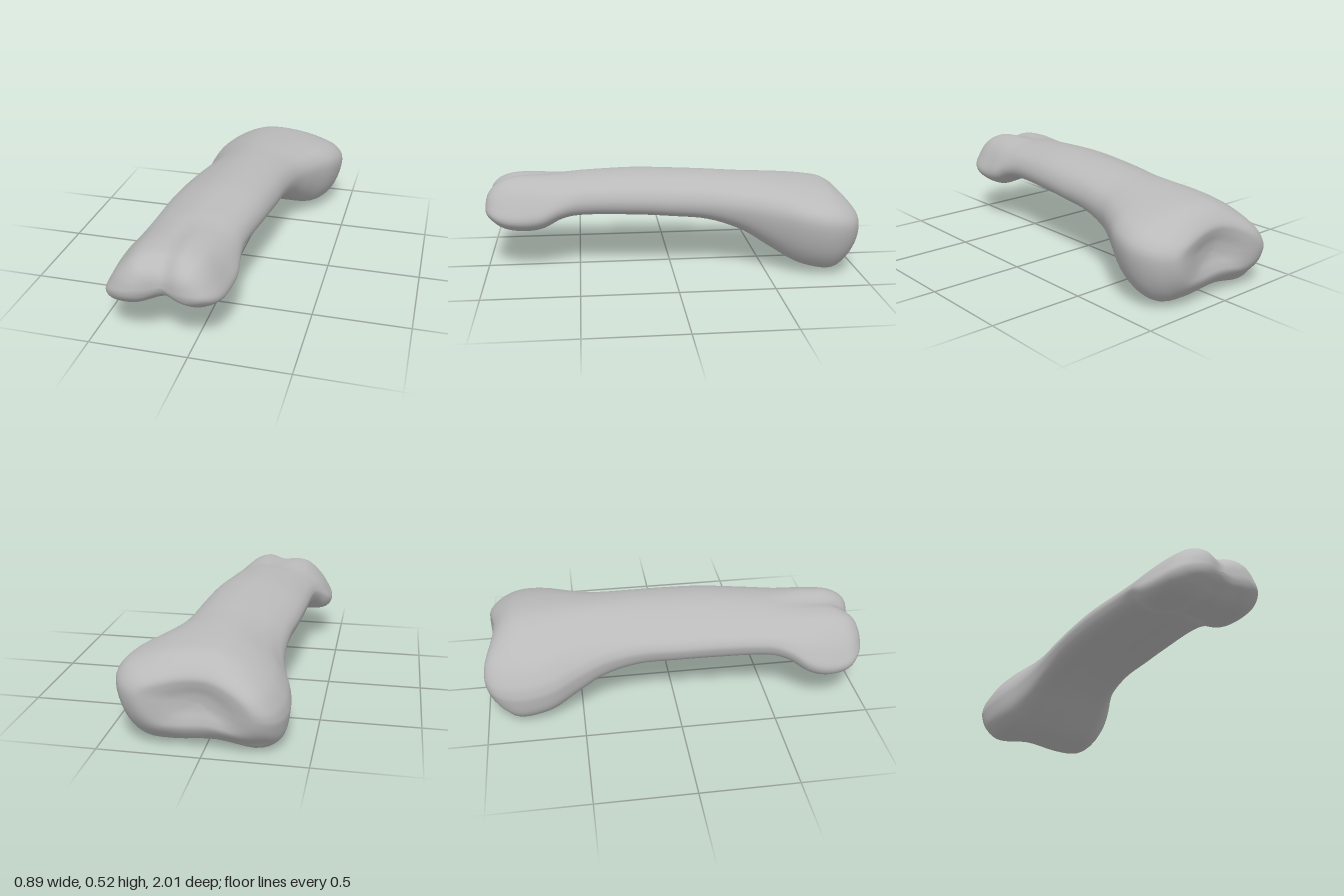
import * as THREE from 'three';

// Outlines in a unit box, counter-clockwise from the +x side
const HEAD = [1, .36, .955, .56, .89, .77, .81, .92, .68, 1, .53, .93, .4, .945, .26, .88,
  .125, .64, .045, .4, 0, .19, .065, .03, .26, .01, .52, .16, .68, .1, .84, .1, .965, .22];
const SHAFT = [1, .43, .97, .66, .89, .83, .76, .95, .6, 1, .46, .98, .32, .9, .17, .77,
  .06, .61, .01, .47, 0, .32, .05, .1, .2, 0, .45, .12, .65, .16, .84, .11, .96, .22];
const BASE = [1, .63, .95, .8, .83, .9, .68, .97, .5, 1, .36, .97, .22, .86, .1, .7,
  .03, .53, .005, .42, 0, .31, .03, .11, .15, .005, .4, .07, .66, .04, .84, .08, .95, .3];

// Stations along the bone: z, x min, x max, y min, y max, outline (0 head, 1 shaft, 2 base)
const STATIONS = [
  [1.01, -.14, -.14, .345, .345, 0],
  [1.005, -.24, -.03, .315, .385, 0],
  [.99, -.32, .045, .28, .42, 0],
  [.963, -.38, .09, .25, .45, 0],
  [.92, -.425, .122, .215, .475, 0],
  [.86, -.445, .142, .192, .492, 0],
  [.77, -.45, .153, .185, .5, .1],
  [.68, -.435, .16, .205, .5, .32],
  [.58, -.39, .148, .26, .5, .7],
  [.46, -.362, .147, .28, .51, 1],
  [.2, -.35, .18, .28, .525, 1],
  [0, -.335, .2, .27, .522, 1],
  [-.2, -.312, .215, .25, .515, 1.1],
  [-.38, -.305, .25, .19, .505, 1.4],
  [-.52, -.33, .32, .11, .5, 1.7],
  [-.65, -.372, .4, .04, .492, 1.95],
  [-.76, -.385, .437, .01, .482, 2],
  [-.84, -.377, .435, .002, .468, 2],
  [-.895, -.352, .405, .022, .44, 2],
  [-.932, -.31, .355, .065, .405, 2],
  [-.952, -.255, .3, .11, .37, 2],
  [-.948, -.185, .23, .15, .335, 2],
  [-.935, -.09, .13, .2, .29, 2],
  [-.93, .02, .02, .245, .245, 2],
];

const SIDES = 72, STEPS = 5;

function cubic(a, b, c, d, t) {
  return b + .5 * t * (c - a + t * (2 * a - 5 * b + 4 * c - d + t * (3 * (b - c) + d - a)));
}

// Smoothly interpolated station
function stationAt(f) {
  const i = Math.min(Math.floor(f), STATIONS.length - 2), t = f - i;
  const at = k => STATIONS[Math.max(0, Math.min(STATIONS.length - 1, k))];
  return STATIONS[0].map((_, k) => cubic(at(i - 1)[k], at(i)[k], at(i + 1)[k], at(i + 2)[k], t));
}

// Cross-section with the outline blended for its place on the bone
function ringAt(f) {
  const [z, x0, x1, y0, y1, shape] = stationAt(f);
  const s = THREE.MathUtils.clamp(shape, 0, 2);
  const [from, to, mix] = s < 1 ? [HEAD, SHAFT, s] : [SHAFT, BASE, s - 1];
  const points = [];
  for (let k = 0; k < from.length; k += 2) {
    const u = THREE.MathUtils.lerp(from[k], to[k], mix);
    const v = THREE.MathUtils.lerp(from[k + 1], to[k + 1], mix);
    points.push(new THREE.Vector3(x0 + u * (x1 - x0), y0 + v * (y1 - y0), z));
  }
  const curve = new THREE.CatmullRomCurve3(points, true, 'catmullrom', .5);
  return Array.from({ length: SIDES }, (_, j) => shapeEnds(curve.getPoint(j / SIDES)));
}

// Groove between the two condyles, and the raised side rims of the socket
function shapeEnds(p) {
  const head = THREE.MathUtils.smoothstep(p.z, .8, .97);
  const base = THREE.MathUtils.smoothstep(-p.z, .82, .95);
  p.z -= .045 * head * Math.exp(-(((p.x + .14) / .085) ** 2));
  const height = (p.y - .26) / .2;
  const side = THREE.MathUtils.smoothstep(Math.abs(p.x - .03), 0, .28);
  p.z -= (.046 - .04 * p.x) * base * side * Math.max(0, 1 - height * height);
  return p;
}

export function createModel() {
  const group = new THREE.Group();
  group.name = 'fingerBone';
  const bone = new THREE.MeshStandardMaterial({ color: 0xbababa });
  bone.name = 'bone grey';

  // Loft through all the cross-sections
  const rings = (STATIONS.length - 1) * STEPS;
  const positions = [], index = [];
  for (let i = 0; i <= rings; i++) {
    for (const p of ringAt(i / STEPS)) positions.push(p.x, p.y, p.z);
    if (i === rings) break;
    for (let j = 0; j < SIDES; j++) {
      const a = i * SIDES + j, b = i * SIDES + (j + 1) % SIDES;
      index.push(a, a + SIDES, b, b, a + SIDES, b + SIDES);
    }
  }
  const geometry = new THREE.BufferGeometry();
  geometry.setAttribute('position', new THREE.Float32BufferAttribute(positions, 3));
  geometry.setIndex(index);

  // Centre it and stand it on the ground
  geometry.computeBoundingBox();
  const { min, max } = geometry.boundingBox;
  geometry.translate(-(min.x + max.x) / 2, -min.y, -(min.z + max.z) / 2);
  geometry.computeVertexNormals();

  const mesh = new THREE.Mesh(geometry, bone);
  mesh.name = 'boneBody';
  group.add(mesh);
  return group;
}
